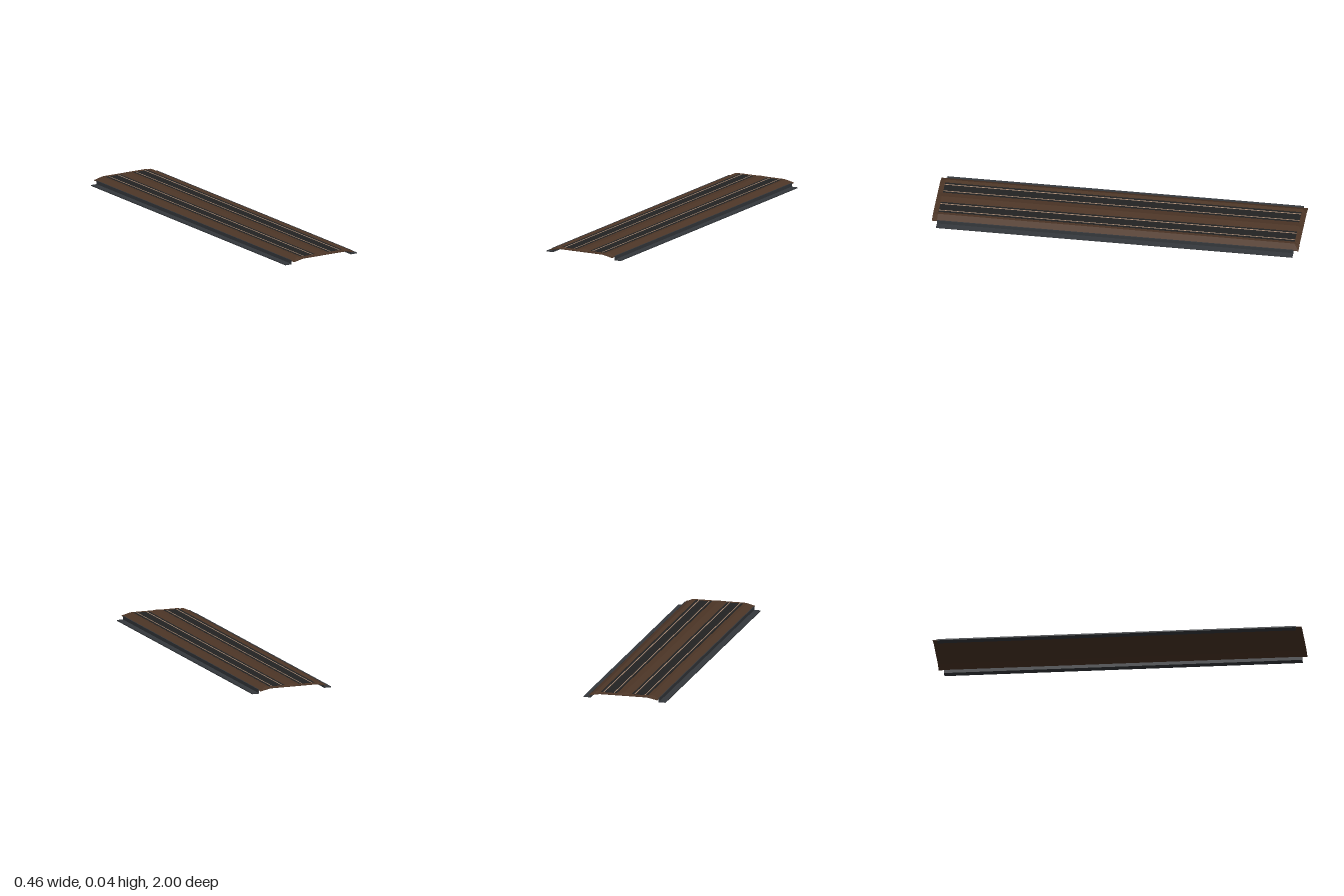
import * as THREE from 'three';

const brown = new THREE.MeshStandardMaterial({ name: 'brown', color: 0x4d3627 });
const black = new THREE.MeshStandardMaterial({ name: 'black', color: 0x222222 });
const steel = new THREE.MeshStandardMaterial({ name: 'darkSteel', color: 0x35383c });
const tan = new THREE.MeshStandardMaterial({ name: 'tan', color: 0xb09078 });

// Half profile of the board: [x, underside, top, top at the tapered ends]
const PROFILE = [
  [0, 0.030, 0.043, 0.034],
  [0.042, 0.030, 0.036, 0.034],
  [0.062, 0.030, 0.035, 0.034],
  [0.110, 0.030, 0.035, 0.034],
  [0.133, 0.030, 0.036, 0.034],
  [0.155, 0.026, 0.040, 0.030],
  [0.192, 0.018, 0.022, 0.021],
];
const END = 0.972;

// Height of the board's top at x
function topAt(x) {
  const a = Math.abs(x);
  const i = Math.max(1, PROFILE.findIndex((p) => p[0] >= a));
  const [p, q] = [PROFILE[i - 1], PROFILE[i]];
  return p[2] + ((a - p[0]) / (q[0] - p[0])) * (q[2] - p[2]);
}

// Solid through sections {z, low: [[x, y]...], high: [[x, y]...]}, flat faced
function loft(sections) {
  const pos = [];
  const quad = (a, b, c, d) => pos.push(...a, ...b, ...c, ...a, ...c, ...d);
  const rings = sections.map(({ z, low, high }) =>
    [...low, ...[...high].reverse()].map(([x, y]) => [x, y, z]));
  const n = rings[0].length;
  for (let i = 0; i < rings.length - 1; i++) {
    for (let j = 0; j < n; j++) {
      const k = (j + 1) % n;
      quad(rings[i][j], rings[i][k], rings[i + 1][k], rings[i + 1][j]);
    }
  }
  const back = rings[0], front = rings[rings.length - 1];
  for (let j = 0; j < n / 2 - 1; j++) {
    const t = n - 1 - j;
    quad(front[j], front[j + 1], front[t - 1], front[t]);
    quad(back[j], back[t], back[t - 1], back[j + 1]);
  }
  const g = new THREE.BufferGeometry();
  g.setAttribute('position', new THREE.Float32BufferAttribute(pos, 3));
  g.computeVertexNormals();
  return g;
}

function add(group, name, geometry, material) {
  const mesh = new THREE.Mesh(geometry, material);
  mesh.name = name;
  group.add(mesh);
  return mesh;
}

// Thin plate lying on the board between x0 and x1
function plate(x0, x1, lift) {
  const inner = PROFILE.flatMap(([x]) => [x, -x]).filter((x) => x > x0 && x < x1);
  const xs = [x0, ...inner, x1].sort((a, b) => a - b);
  const low = xs.map((x) => [x, topAt(x) - 0.0005]);
  const high = xs.map((x) => [x, topAt(x) + lift]);
  return loft([-END, END].map((z) => ({ z, low, high })));
}

export function createModel() {
  const model = new THREE.Group();
  model.name = 'steppedBoard';

  // Board with a raised middle, raised shoulders and tapered ends
  const full = [...PROFILE.slice(1).reverse().map(([x, ...r]) => [-x, ...r]), ...PROFILE];
  const section = (z, col) => ({
    z,
    low: full.map((p) => [p[0], p[1]]),
    high: full.map((p) => [p[0], p[col]]),
  });
  add(model, 'board', loft([section(-1, 3), section(-END, 2), section(END, 2), section(1, 3)]), brown);

  for (const [side, s] of [['left', 1], ['right', -1]]) {
    // Grip strip with two fine inlay lines
    const span = (a, b) => (s > 0 ? [a, b] : [-b, -a]);
    add(model, side + 'GripStrip', plate(...span(0.042, 0.132), 0.0008), black);
    add(model, side + 'InnerInlay', plate(...span(0.055, 0.060), 0.0016), tan);
    add(model, side + 'OuterInlay', plate(...span(0.113, 0.118), 0.0016), tan);

    // Angle bracket: upright wall and outward flange
    const bracket = new THREE.Group();
    bracket.name = side + 'Bracket';
    add(bracket, 'wall', new THREE.BoxGeometry(0.005, 0.024, END * 2), steel)
      .position.set(s * 0.1925, 0.012, 0);
    add(bracket, 'flange', new THREE.BoxGeometry(0.035, 0.005, END * 2), steel)
      .position.set(s * 0.2125, 0.0025, 0);
    model.add(bracket);
  }
  return model;
}
